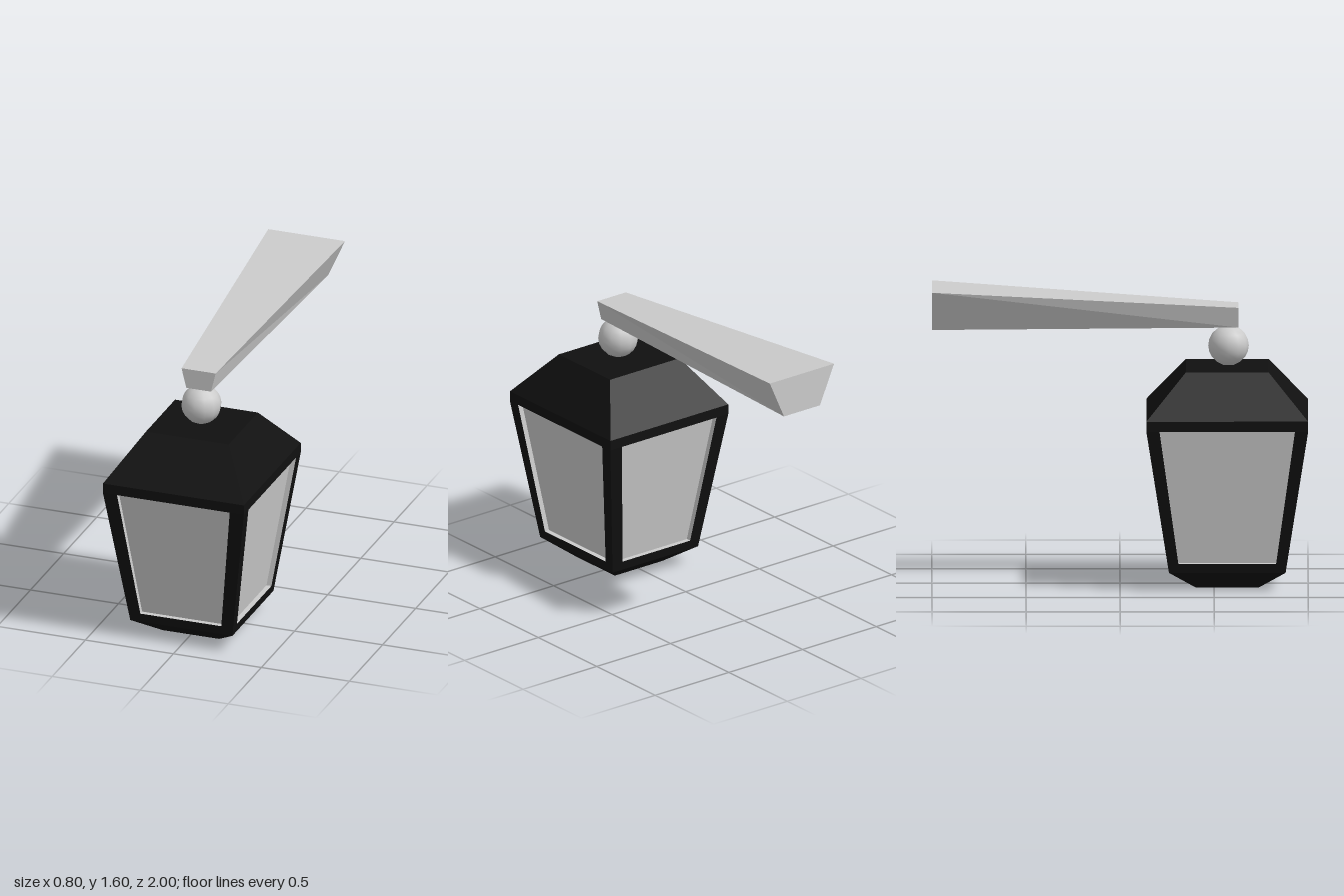
import * as THREE from 'three';

const black = new THREE.MeshStandardMaterial({ color: 0x101010, flatShading: true });
const grey = new THREE.MeshStandardMaterial({ color: 0xcccccc, flatShading: true });
const smoothGrey = new THREE.MeshStandardMaterial({ color: 0xcccccc });

// Mesh from quads, corners counter-clockwise seen from outside
function quadMesh(name, quads, material) {
  const pos = [];
  for (const [a, b, c, d] of quads) pos.push(...a, ...b, ...c, ...a, ...c, ...d);
  const geo = new THREE.BufferGeometry();
  geo.setAttribute('position', new THREE.Float32BufferAttribute(pos, 3));
  geo.computeVertexNormals();
  const mesh = new THREE.Mesh(geo, material);
  mesh.name = name;
  return mesh;
}

// Point on side k (0 front, 1 left, 2 back, 3 right): u along the side, d outward
function sidePoint(k, u, y, d) {
  return [[u, y, d], [d, y, -u], [-u, y, -d], [-d, y, u]][k];
}

// Lantern rings: height, half width in x, half depth in z
const rings = [
  [0, 0.16, 0.165],
  [0.1, 0.29, 0.31],
  [0.875, 0.4, 0.43],
  [0.93, 0.4, 0.43],
  [1.17, 0.235, 0.22],
];
const WALL = 1;
const GLASS_BOTTOM = 0.15;
const RECESS = 0.028;

function createLantern() {
  const lantern = new THREE.Group();
  lantern.name = 'lantern';
  const frame = [];

  for (let k = 0; k < 4; k++) {
    const size = ([y, hx, hz]) => (k % 2 ? [y, hz, hx] : [y, hx, hz]);

    // Solid sloped bands of the base and roof
    for (let i = 0; i < rings.length - 1; i++) {
      if (i === WALL) continue;
      const [y0, w0, d0] = size(rings[i]);
      const [y1, w1, d1] = size(rings[i + 1]);
      frame.push([sidePoint(k, -w0, y0, d0), sidePoint(k, w0, y0, d0),
        sidePoint(k, w1, y1, d1), sidePoint(k, -w1, y1, d1)]);
    }

    // Wall with a window opening
    const [y0, w0, d0] = size(rings[WALL]);
    const [y1, w1, d1] = size(rings[WALL + 1]);
    const dBottom = d0 + (d1 - d0) * (GLASS_BOTTOM - y0) / (y1 - y0);
    const [uBottom, uTop] = k % 2 ? [0.26, 0.36] : [0.23, 0.32];
    const outer = [sidePoint(k, -w0, y0, d0), sidePoint(k, w0, y0, d0),
      sidePoint(k, w1, y1, d1), sidePoint(k, -w1, y1, d1)];
    const opening = (inset) => [
      sidePoint(k, -uBottom, GLASS_BOTTOM, dBottom - inset),
      sidePoint(k, uBottom, GLASS_BOTTOM, dBottom - inset),
      sidePoint(k, uTop, y1, d1 - inset),
      sidePoint(k, -uTop, y1, d1 - inset)];
    const rim = opening(0);
    const pane = opening(RECESS);
    const glass = [pane];
    for (let i = 0; i < 4; i++) {
      const j = (i + 1) % 4;
      frame.push([outer[i], outer[j], rim[j], rim[i]]);
      glass.push([rim[i], rim[j], pane[j], pane[i]]);
    }
    lantern.add(quadMesh(['front', 'left', 'back', 'right'][k] + 'Glass', glass, grey));
  }

  // Flat bottom and top
  const flat = ([y, x, z]) => [[-x, y, z], [x, y, z], [x, y, -z], [-x, y, -z]];
  frame.push(flat(rings[0]).reverse(), flat(rings[rings.length - 1]));
  lantern.add(quadMesh('frame', frame, black));
  lantern.position.z = 0.57;
  return lantern;
}

// Tapered wall arm, from its narrow front end to its wide back end
function createArm() {
  const section = (z, yBottom, yTop, wBottom, wTop) => [
    [-wBottom, yBottom, z], [wBottom, yBottom, z], [wTop, yTop, z], [-wTop, yTop, z]];
  const f = section(0.63, 1.385, 1.495, 0.07, 0.097);
  const b = section(-1, 1.38, 1.595, 0.122, 0.218);
  const quads = [f, [...b].reverse()];
  for (let i = 0; i < 4; i++) {
    const j = (i + 1) % 4;
    quads.push([f[j], f[i], b[i], b[j]]);
  }
  const arm = quadMesh('arm', quads, grey);
  arm.position.x = 0.004;
  return arm;
}

export function createModel() {
  const model = new THREE.Group();
  model.name = 'wallLantern';
  model.add(createLantern(), createArm());

  // Ball joint between roof and arm
  const ball = new THREE.Mesh(new THREE.SphereGeometry(0.108, 12, 10), smoothGrey);
  ball.name = 'ballJoint';
  ball.position.set(0, 1.28, 0.577);
  model.add(ball);
  return model;
}
